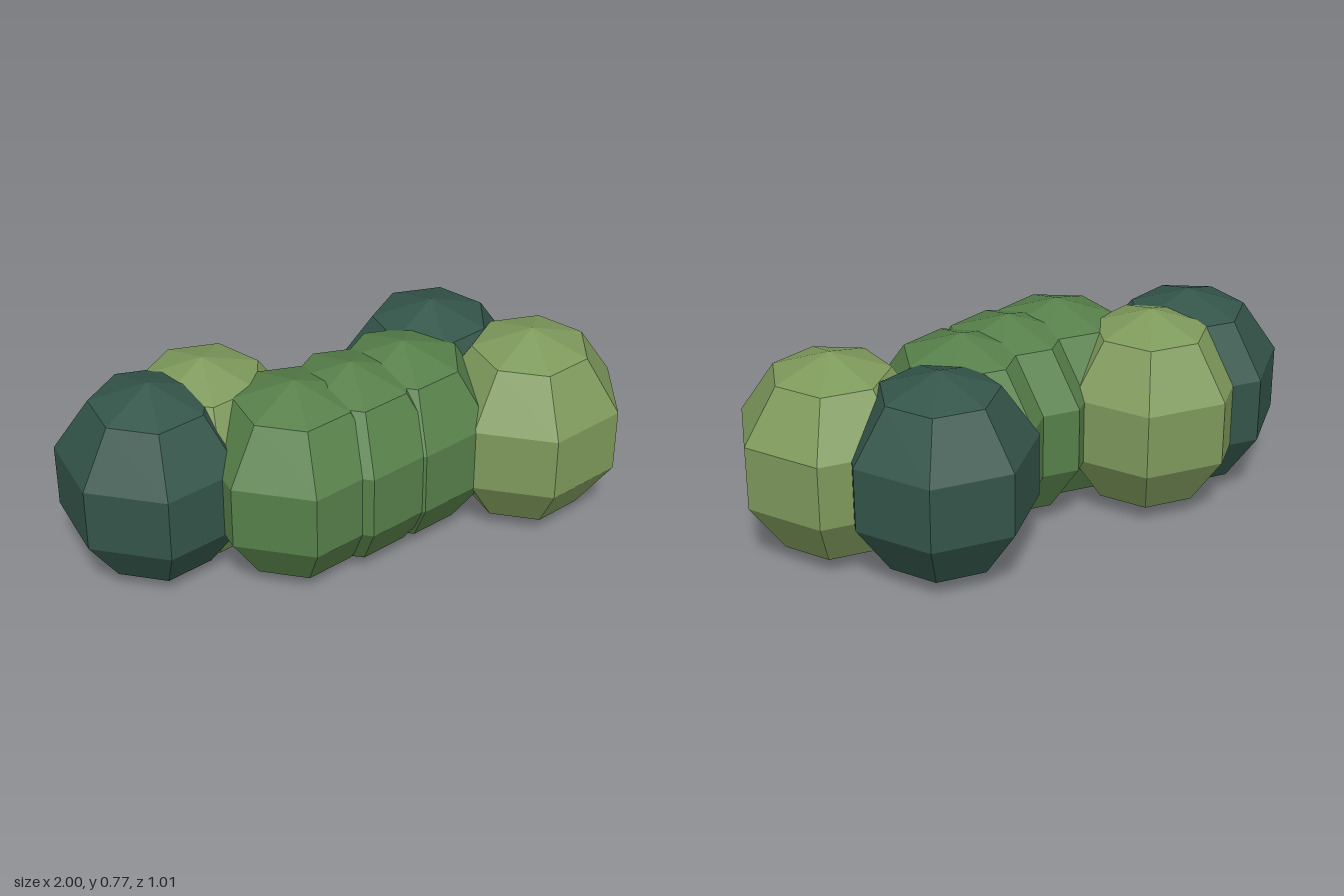
import * as THREE from 'three';

export function createModel() {
  const model = new THREE.Group();
  model.name = 'hedge';

  const material = (color) => new THREE.MeshStandardMaterial({ color, flatShading: true });
  const dark = material(0x34554a);
  const mid = material(0x57804a);
  const light = material(0x7f9a5c);

  // One low-poly bush: seven sides, five bands, a corner towards +x, slightly taller than wide
  const bush = new THREE.SphereGeometry(0.36, 7, 5);
  bush.rotateY(Math.PI);
  bush.scale(1, 0.387 / 0.36, 1);

  // Bushes evenly spaced along x, staggered in depth: [z, material]
  const row = [
    [-0.105, dark],
    [-0.172, light],
    [0.101, mid],
    [0.082, mid],
    [0.04, mid],
    [-0.168, dark],
    [0.17, light],
  ];
  row.forEach(([z, mat], i) => {
    const mesh = new THREE.Mesh(bush, mat);
    mesh.name = `bush${i + 1}`;
    mesh.position.set(-0.692 + i * 0.225, 0.387, z);
    model.add(mesh);
  });

  return model;
}
